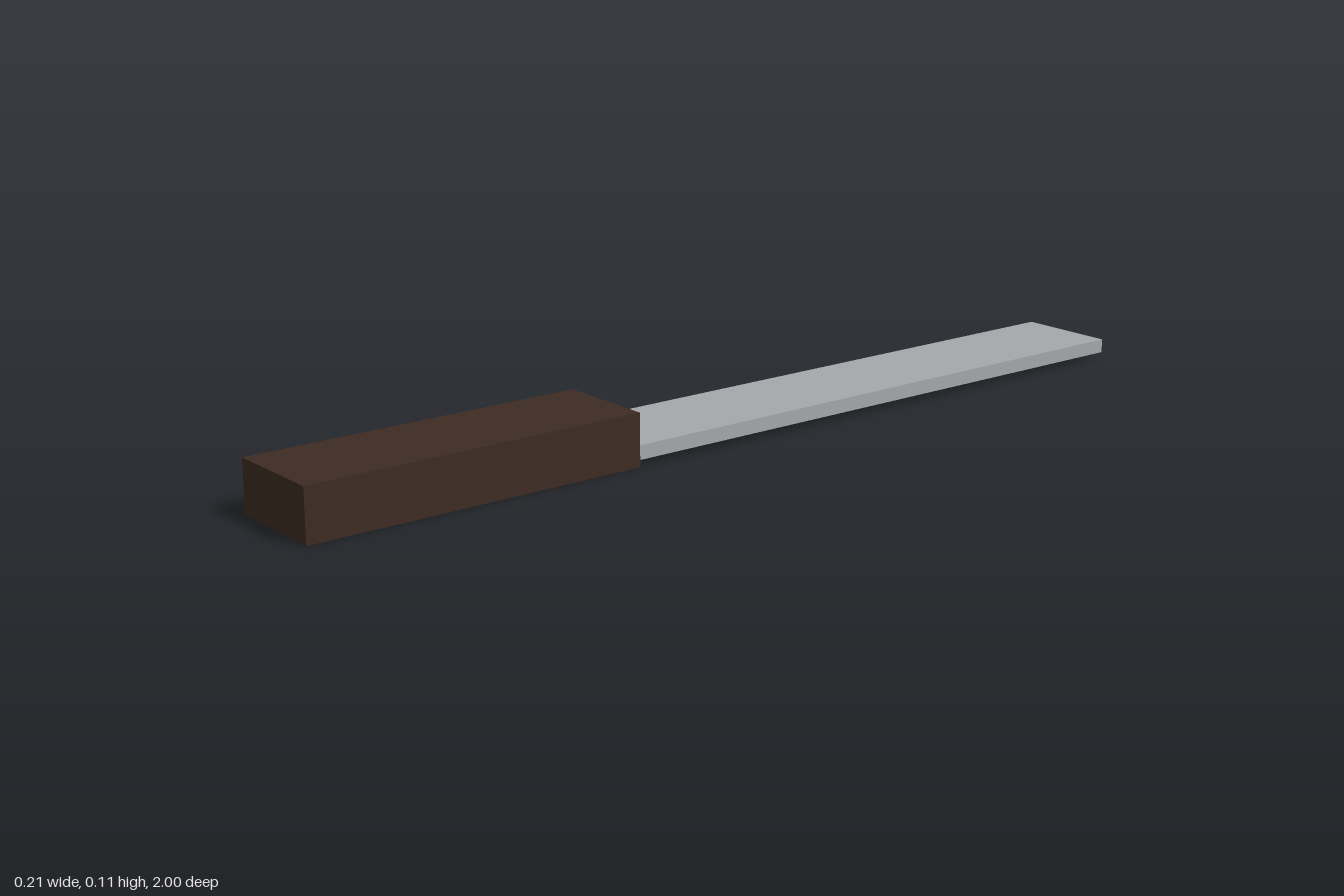
import * as THREE from 'three';

export function createModel() {
  const model = new THREE.Group();
  const steel = new THREE.MeshStandardMaterial({ name: 'steel grey', color: 0xa5a8ac });
  const wood = new THREE.MeshStandardMaterial({ name: 'dark brown', color: 0x3d2c23 });

  // A box given by its extents in y and z, centred on x = 0
  const block = (name, material, width, [y0, y1], [z0, z1]) => {
    const mesh = new THREE.Mesh(new THREE.BoxGeometry(width, y1 - y0, z1 - z0), material);
    mesh.name = name;
    mesh.position.set(0, (y0 + y1) / 2, (z0 + z1) / 2);
    model.add(mesh);
  };

  // Thick grip at the front, thin flat blade running to the back
  block('handle', wood, 0.214, [0, 0.107], [0.286, 1]);
  block('blade', steel, 0.213, [0.014, 0.043], [-1, 0.287]);

  return model;
}
